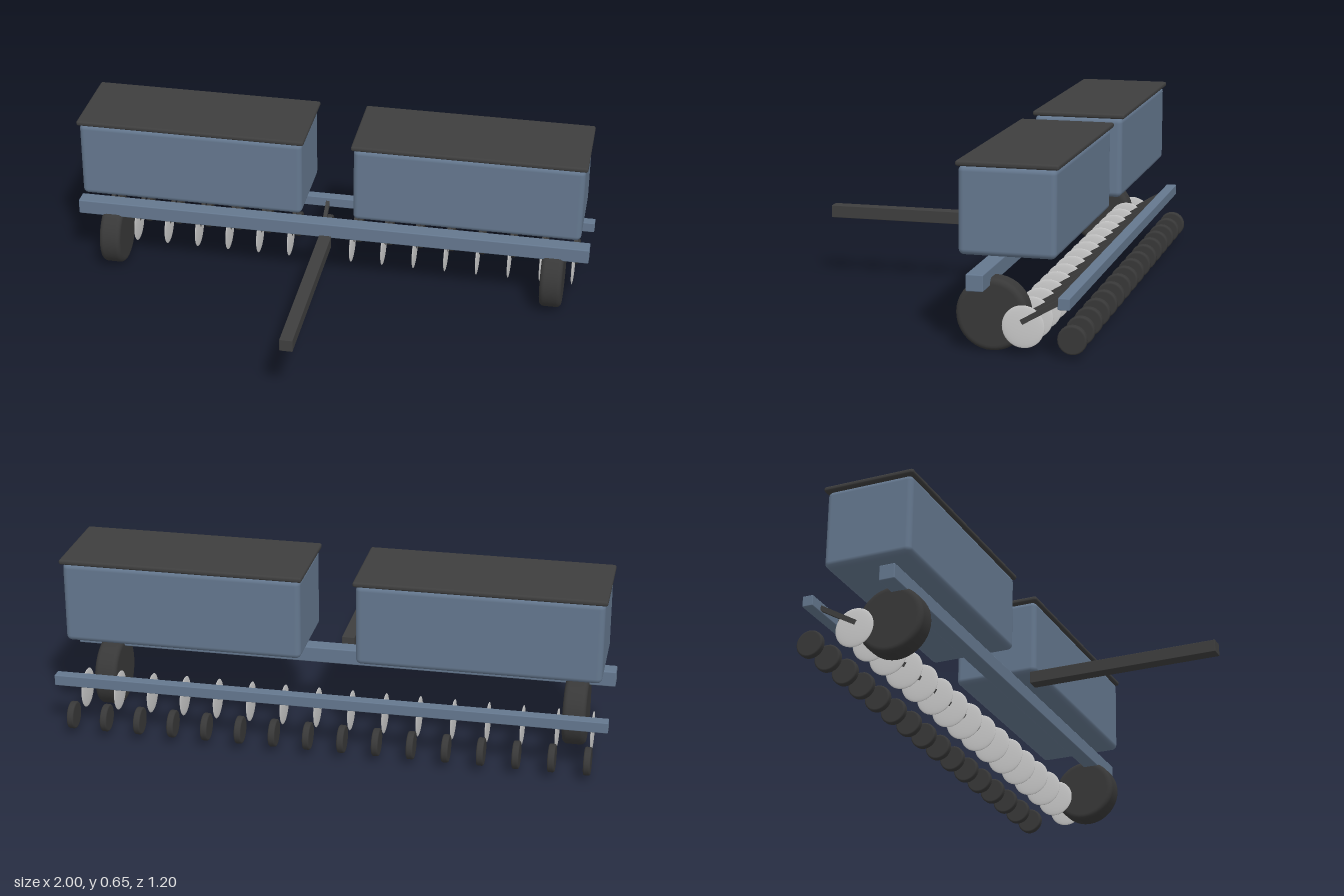
import * as THREE from 'three';
import { RoundedBoxGeometry } from 'three/addons/geometries/RoundedBoxGeometry.js';

const mat = (name, color) => {
  const m = new THREE.MeshStandardMaterial({ color });
  m.name = name;
  return m;
};

export function createModel() {
  const blue = mat('blue paint', 0x64778e);
  const dark = mat('dark steel', 0x3e3e3e);
  const rubber = mat('rubber', 0x383838);
  const silver = mat('bare steel', 0xcacaca);
  const model = new THREE.Group();
  model.name = 'seedDrill';

  const add = (name, geometry, material, x, y, z) => {
    const mesh = new THREE.Mesh(geometry, material);
    mesh.name = name;
    mesh.position.set(x, y, z);
    model.add(mesh);
    return mesh;
  };
  const box = (w, h, d, r) => new RoundedBoxGeometry(w, h, d, 3, r);

  // Wheel with rounded shoulders, axle along x
  const wheel = (radius, width, round, segments) => {
    const h = width / 2, pts = [new THREE.Vector2(0, -h), new THREE.Vector2((radius - round) * 0.97, -h)];
    for (const side of [-1, 1]) {
      for (let i = 0; i <= 5; i++) {
        const a = (side < 0 ? i - 5 : i) * Math.PI / 10;
        pts.push(new THREE.Vector2(radius - round + round * Math.cos(a), side * (h - round) + round * Math.sin(a)));
      }
    }
    pts.push(new THREE.Vector2((radius - round) * 0.97, h), new THREE.Vector2(0, h));
    return new THREE.LatheGeometry(pts, segments).rotateZ(Math.PI / 2);
  };

  // Frame beams and drawbar
  add('frontBeam', box(2, 0.058, 0.06, 0.004), blue, 0, 0.254, -0.233);
  add('rearBeam', box(2, 0.04, 0.04, 0.003), blue, 0, 0.202, -0.534);
  add('drawbar', box(0.048, 0.047, 0.733, 0.002), dark, 0, 0.253, 0.2335);

  // Hoppers, lids and transport wheels
  const hopper = box(0.868, 0.3, 0.333, 0.02);
  const lid = box(0.885, 0.019, 0.349, 0.008);
  const tyre = wheel(0.125, 0.084, 0.018, 40);
  for (const s of [-1, 1]) {
    add('hopper', hopper, blue, s * 0.533, 0.488, -0.333);
    add('hopperLid', lid, dark, s * 0.533, 0.646, -0.335);
    add('transportWheel', tyre, rubber, s * 0.866, 0.126, -0.266);
  }

  // Row units: slanted arm, lens-shaped disc, press wheel
  const from = new THREE.Vector2(-0.535, 0.21), to = new THREE.Vector2(-0.377, 0.117);
  const arm = new THREE.BoxGeometry(0.015, 0.018, from.distanceTo(to));
  const disc = new THREE.SphereGeometry(0.073, 32, 16).rotateZ(Math.PI / 2).scale(0.08, 1, 1);
  const press = wheel(0.05, 0.025, 0.006, 24);
  for (let i = 0; i < 16; i++) {
    const x = (i - 7.5) * 0.1247;
    const mesh = add('rowArm', arm, dark, x, (from.y + to.y) / 2, (from.x + to.x) / 2);
    mesh.rotation.x = Math.atan2(from.y - to.y, to.x - from.x);
    add('openerDisc', disc, silver, x, 0.101, -0.383);
    add('pressWheel', press, rubber, x, 0.068, -0.55);
  }
  return model;
}
